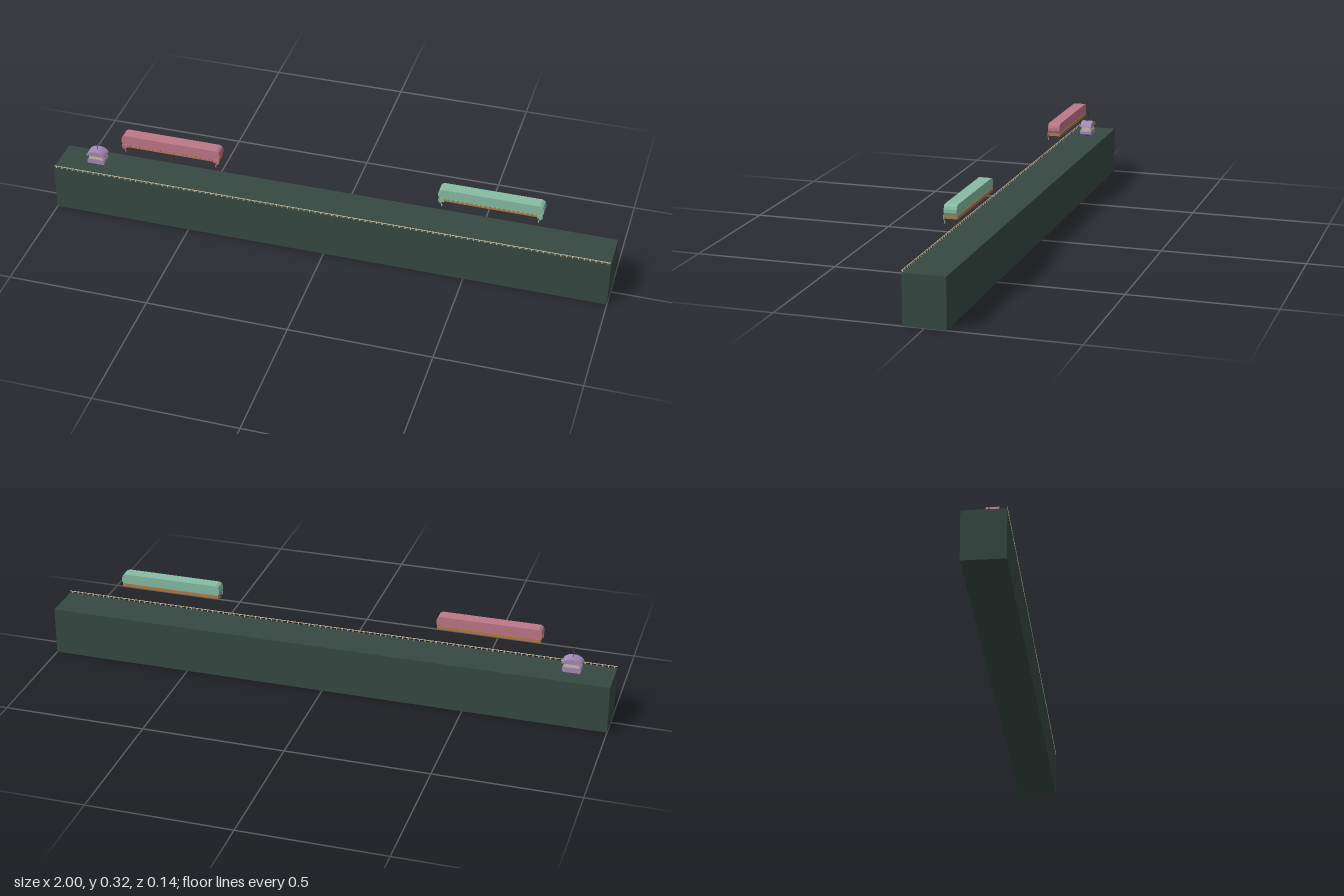
import * as THREE from 'three';

const mat = (name, color) => {
  const m = new THREE.MeshStandardMaterial({ color });
  m.name = name;
  return m;
};

export function createModel() {
  const slate = mat('dark slate green', 0x374943);
  const rose = mat('rose', 0xbe7888);
  const mint = mat('mint', 0x86bca4);
  const lilac = mat('lilac', 0xa48ab6);
  const wood = mat('orange wood', 0xb87a44);
  const cream = mat('cream', 0xcbbd9f);
  const dark = mat('dark metal', 0x35353a);

  const model = new THREE.Group();

  const add = (parent, name, geometry, material, x = 0, y = 0, z = 0) => {
    const mesh = new THREE.Mesh(geometry, material);
    mesh.name = name;
    mesh.position.set(x, y, z);
    parent.add(mesh);
    return mesh;
  };
  const box = (parent, name, w, h, d, material, x, y, z) =>
    add(parent, name, new THREE.BoxGeometry(w, h, d), material, x, y, z);

  // Extrudes a mirrored half outline [x, y] along z, centred on z = 0
  const prism = (half, depth) => {
    const left = half.map(([x, y]) => [-x, y]).reverse();
    const shape = new THREE.Shape([...half, ...left].map(([x, y]) => new THREE.Vector2(x, y)));
    return new THREE.ExtrudeGeometry(shape, { depth, bevelEnabled: false }).translate(0, 0, -depth / 2);
  };

  // Long base block
  box(model, 'base', 2, 0.171, 0.143, slate, 0, 0.0855, 0);

  // Fine railing on the front edge
  const railing = new THREE.Group();
  railing.name = 'railing';
  model.add(railing);
  box(railing, 'railingTop', 2, 0.002, 0.002, cream, 0, 0.178, 0.071);
  const count = 100;
  const postGeometry = new THREE.BoxGeometry(0.004, 0.007, 0.002);
  for (let i = 0; i < count; i++) {
    add(railing, 'railingPost', postGeometry, cream, -0.99 + (i * 1.98) / (count - 1), 0.174, 0.071);
  }

  // Hanging canopy: bevelled shell, wooden floor, front fringe and end hooks
  const canopy = (name, x, colour, skirt) => {
    const group = new THREE.Group();
    group.name = name;
    group.position.x = x;
    model.add(group);

    const shell = [[0.178, 0.288], [0.182, 0.297], [0.182, 0.308], [0.178, 0.318], [0.169, 0.323]];
    add(group, 'shell', prism(shell, 0.043), colour);
    box(group, 'floor', 0.356, 0.011, 0.044, wood, 0, 0.2825, -0.001);

    // Small scalloped drops along the front
    const drop = new THREE.BoxGeometry(0.008, skirt, 0.002);
    for (let i = 0; i < 22; i++) {
      add(group, 'fringe', drop, colour, -0.168 + i * 0.016, 0.289 - skirt / 2, 0.022);
    }
    // Curved hooks below each end
    for (const side of [-1, 1]) {
      const hook = new THREE.CatmullRomCurve3([
        new THREE.Vector3(side * 0.177, 0.288, 0.0235),
        new THREE.Vector3(side * 0.176, 0.274, 0.0235),
        new THREE.Vector3(side * 0.168, 0.268, 0.0235),
        new THREE.Vector3(side * 0.167, 0.258, 0.0235),
      ]);
      add(group, 'hook', new THREE.TubeGeometry(hook, 10, 0.002, 6), colour);
      box(group, 'hookPlate', 0.02, 0.013, 0.002, colour, side * 0.17, 0.2815, 0.0235);
    }
  };
  canopy('roseCanopy', -0.572, rose, 0.008);
  canopy('mintCanopy', 0.572, mint, 0.004);

  // Small pavilion with a curved roof and a finial
  const pavilion = new THREE.Group();
  pavilion.name = 'pavilion';
  pavilion.position.x = -0.859;
  model.add(pavilion);
  box(pavilion, 'foot', 0.012, 0.01, 0.003, dark, 0, 0.1755, 0);
  add(pavilion, 'lowerBody', prism([[0.029, 0.18], [0.032, 0.184], [0.032, 0.193], [0.028, 0.198]], 0.043), lilac);
  box(pavilion, 'windowBand', 0.052, 0.013, 0.036, cream, 0, 0.2045, 0);
  add(pavilion, 'roof', prism([[0.035, 0.211], [0.034, 0.215], [0.028, 0.221], [0.019, 0.226], [0.008, 0.229]], 0.043), lilac);
  add(pavilion, 'finialPole', new THREE.CylinderGeometry(0.001, 0.001, 0.036, 8), dark, 0, 0.246, 0);
  box(pavilion, 'finialPlate', 0.01, 0.016, 0.002, dark, 0, 0.255, 0);

  return model;
}
